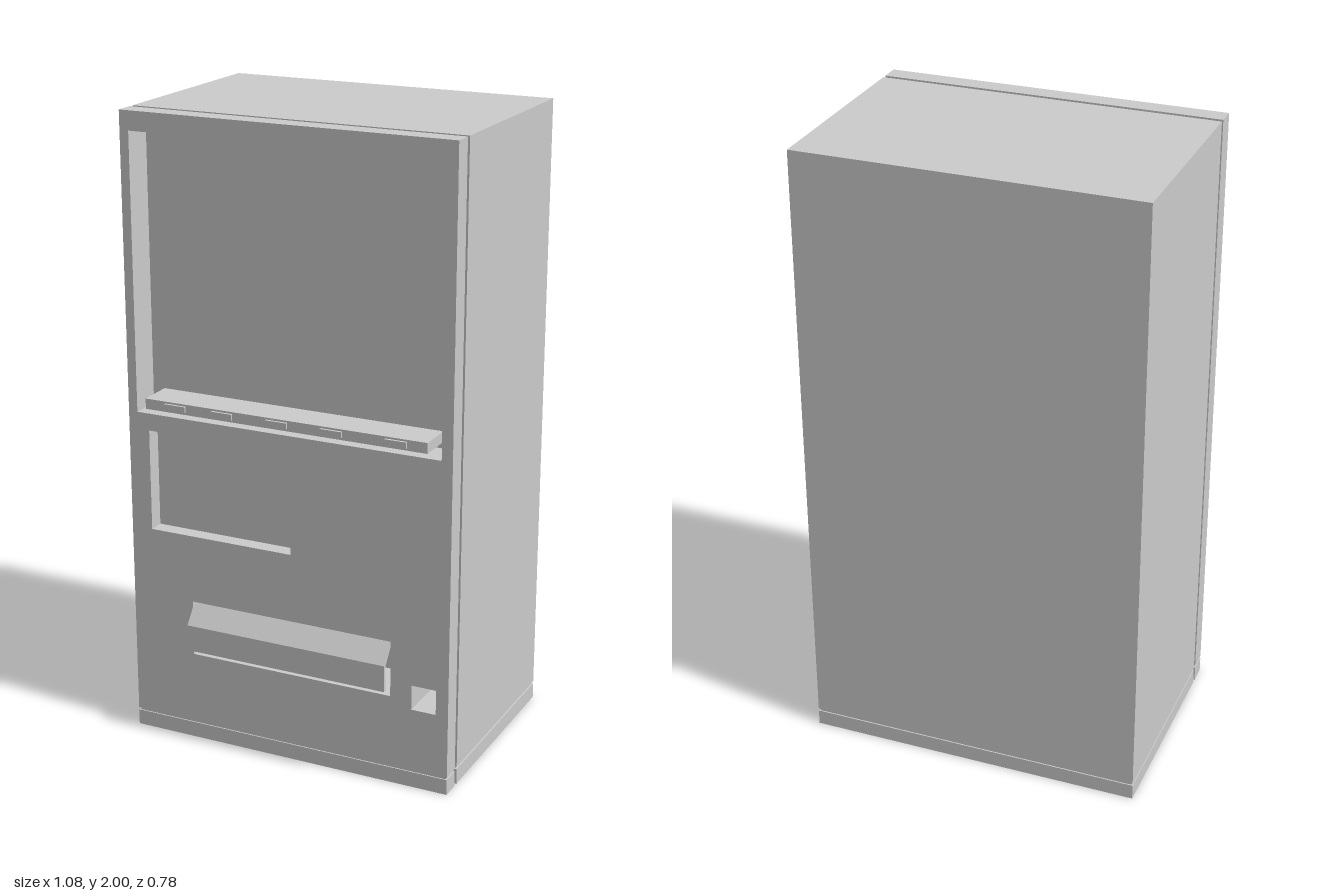
import * as THREE from 'three';

const W = 0.54, H = 2;

// Openings in the front: [x0, x1, y0, y1]
const WINDOW = [-0.51, 0.505, 1.07, 1.94];
const PANEL = [-0.47, 0.015, 0.69, 1.015];
const DELIVERY = [-0.33, 0.35, 0.29, 0.47];
const COIN = [0.42, 0.5, 0.26, 0.34];

export function createModel() {
  const model = new THREE.Group();
  const grey = new THREE.MeshStandardMaterial({ color: 0xcccccc });
  grey.name = 'greyMetal';

  const add = (name, geometry, parent = model) => {
    const mesh = new THREE.Mesh(geometry, grey);
    mesh.name = name;
    parent.add(mesh);
    return mesh;
  };

  const box = (name, x0, x1, y0, y1, z0, z1, parent) =>
    add(name, new THREE.BoxGeometry(x1 - x0, y1 - y0, z1 - z0), parent)
      .position.set((x0 + x1) / 2, (y0 + y1) / 2, (z0 + z1) / 2);

  const rect = (target, [x0, x1, y0, y1]) => {
    target.moveTo(x0, y0);
    target.lineTo(x1, y0);
    target.lineTo(x1, y1);
    target.lineTo(x0, y1);
    target.closePath();
    return target;
  };

  // One slice of the cabinet from z0 to z1, with openings, plinth and plinth groove
  const slice = (name, z0, z1, inset, openings) => {
    const group = new THREE.Group();
    group.name = name;
    const w = W - inset;
    const shape = rect(new THREE.Shape(), [-w, w, 0.058, H - inset]);
    shape.holes = openings.map((o) => rect(new THREE.Path(), o));
    const wall = new THREE.ExtrudeGeometry(shape, { depth: z1 - z0, bevelEnabled: false });
    wall.translate(0, 0, z0);
    add(name + 'Wall', wall, group);
    box(name + 'Plinth', -w, w, inset, 0.05, z0, z1, group);
    box(name + 'Groove', -w + 0.005, w - 0.005, 0.045, 0.063, z0 + 0.004, z1 - 0.004, group);
    model.add(group);
  };

  // Cabinet body, recessed seal and front door
  slice('cabinet', -0.39, 0.17, 0, []);
  slice('cabinetFront', 0.17, 0.245, 0, [DELIVERY, COIN]);
  slice('cabinetRim', 0.245, 0.268, 0, [WINDOW, DELIVERY, COIN]);
  slice('doorSeal', 0.268, 0.283, 0.01, [WINDOW, DELIVERY, COIN]);
  slice('doorBack', 0.283, 0.295, 0, [WINDOW, DELIVERY, COIN]);
  slice('doorFront', 0.295, 0.345, 0, [WINDOW, PANEL, DELIVERY, COIN]);

  // Selection shelf with its buttons
  box('buttonShelf', -0.47, 0.467, 1.09, 1.123, 0.245, 0.36);
  for (const x of [-0.365, -0.205, -0.02, 0.16, 0.368]) {
    box('selectionButton', x - 0.035, x + 0.035, 1.098, 1.117, 0.355, 0.368);
  }

  // Bent delivery flap, profile drawn as (z, y)
  const profile = new THREE.Shape([
    [0.343, 0.47], [0.338, 0.463], [0.381, 0.405], [0.381, 0.323],
    [0.39, 0.323], [0.39, 0.408],
  ].map(([z, y]) => new THREE.Vector2(z, y)));
  const flap = new THREE.ExtrudeGeometry(profile, { depth: 0.675, bevelEnabled: false });
  flap.rotateY(-Math.PI / 2);
  add('deliveryFlap', flap).position.x = 0.35;

  return model;
}
